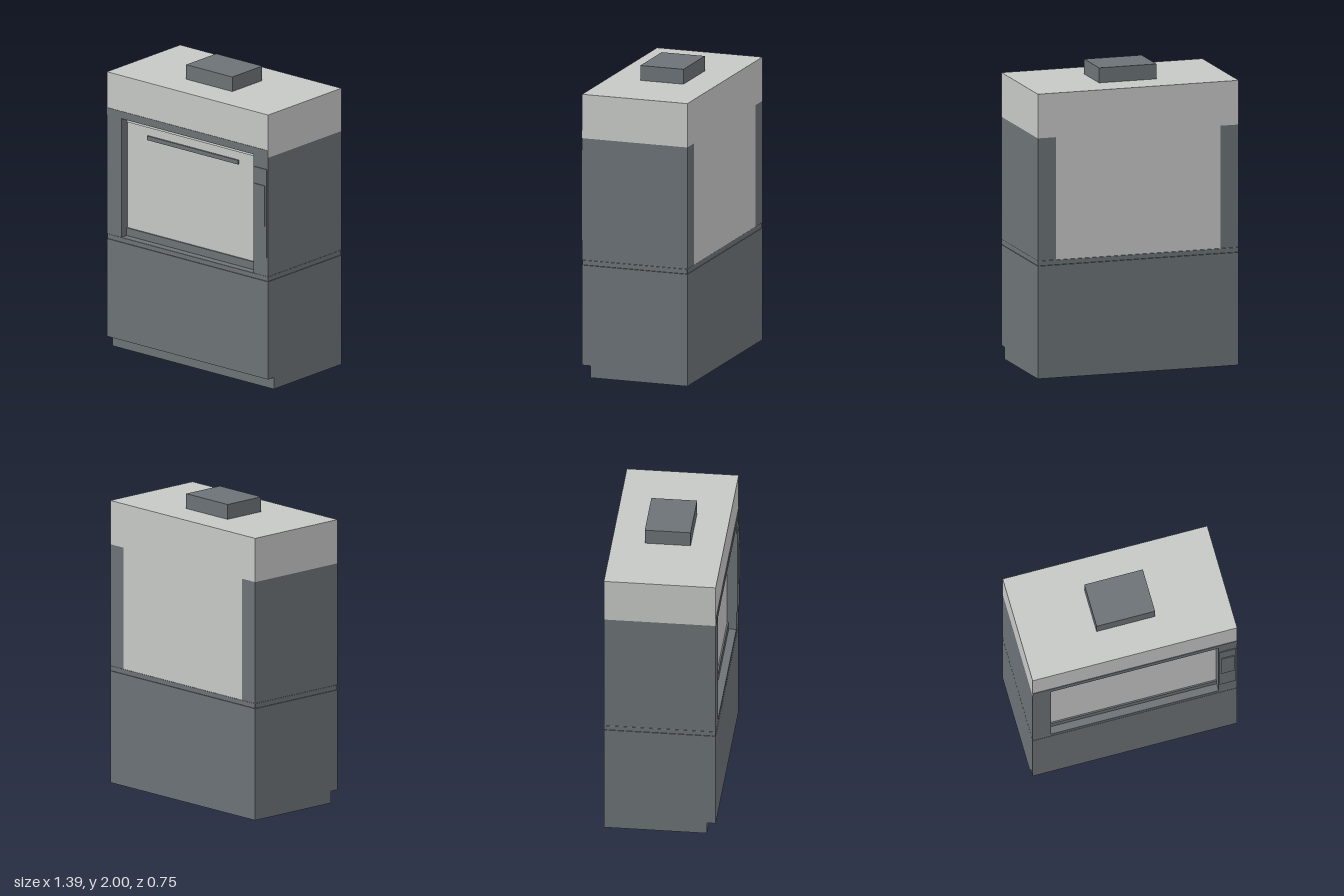
import * as THREE from 'three';
import { RoundedBoxGeometry } from 'three/addons/geometries/RoundedBoxGeometry.js';

export function createModel() {
  const model = new THREE.Group();
  model.name = 'fumeCupboard';

  const light = new THREE.MeshStandardMaterial({ color: 0xc6c8c6 });
  light.name = 'light grey';
  const dark = new THREE.MeshStandardMaterial({ color: 0x6c7276 });
  dark.name = 'slate grey';

  const W = 0.693, BACK = -0.373, FRONT = 0.362, SASH = 0.3;

  // Block given by its limits on each axis, optionally with softened edges
  function block(name, material, [x0, x1], [y0, y1], [z0, z1], radius = 0) {
    const size = [x1 - x0, y1 - y0, z1 - z0];
    const geometry = radius
      ? new RoundedBoxGeometry(...size, 2, radius)
      : new THREE.BoxGeometry(...size);
    const mesh = new THREE.Mesh(geometry, material);
    mesh.name = name;
    mesh.position.set((x0 + x1) / 2, (y0 + y1) / 2, (z0 + z1) / 2);
    model.add(mesh);
  }

  // Base cabinet on a set-back plinth, with the worktop above
  block('plinth', dark, [-W, W], [0, 0.08], [BACK, 0.305]);
  block('baseCabinet', dark, [-W, W], [0.08, 0.752], [BACK, FRONT]);
  block('worktop', dark, [-W, W], [0.752, 0.787], [BACK, FRONT], 0.005);

  // Side columns
  for (const side of [-1, 1]) {
    const xs = [side * 0.568, side * W].sort((a, b) => a - b);
    block(side > 0 ? 'leftColumn' : 'rightColumn', dark, xs, [0.787, 1.605], [BACK, FRONT]);
  }

  // Chamber closed by the recessed sash, with its sill, top rail and handle
  block('chamber', light, [-0.568, 0.568], [0.787, 1.605], [BACK, SASH]);
  block('sill', dark, [-0.568, 0.568], [0.787, 0.84], [SASH, 0.31]);
  block('topRail', light, [-0.568, 0.568], [1.567, 1.605], [SASH, 0.308]);
  block('railSlot', dark, [-0.48, 0.48], [1.584, 1.589], [0.308, 0.31]);
  block('sashHandle', dark, [-0.393, 0.39], [1.482, 1.51], [SASH, 0.312]);

  // Header with its front trim, and the exhaust duct
  block('header', light, [-W, W], [1.605, 1.9], [BACK, FRONT]);
  block('headerTrim', dark, [-W, W], [1.605, 1.655], [FRONT, 0.365]);
  block('exhaustDuct', dark, [-0.199, 0.197], [1.9, 2], [-0.158, 0.143]);

  // Control panel on the left column
  block('controlPanel', dark, [0.573, 0.685], [0.917, 1.523], [FRONT, 0.368]);
  block('controlDisplay', dark, [0.584, 0.671], [1.132, 1.41], [0.368, 0.374]);

  return model;
}
